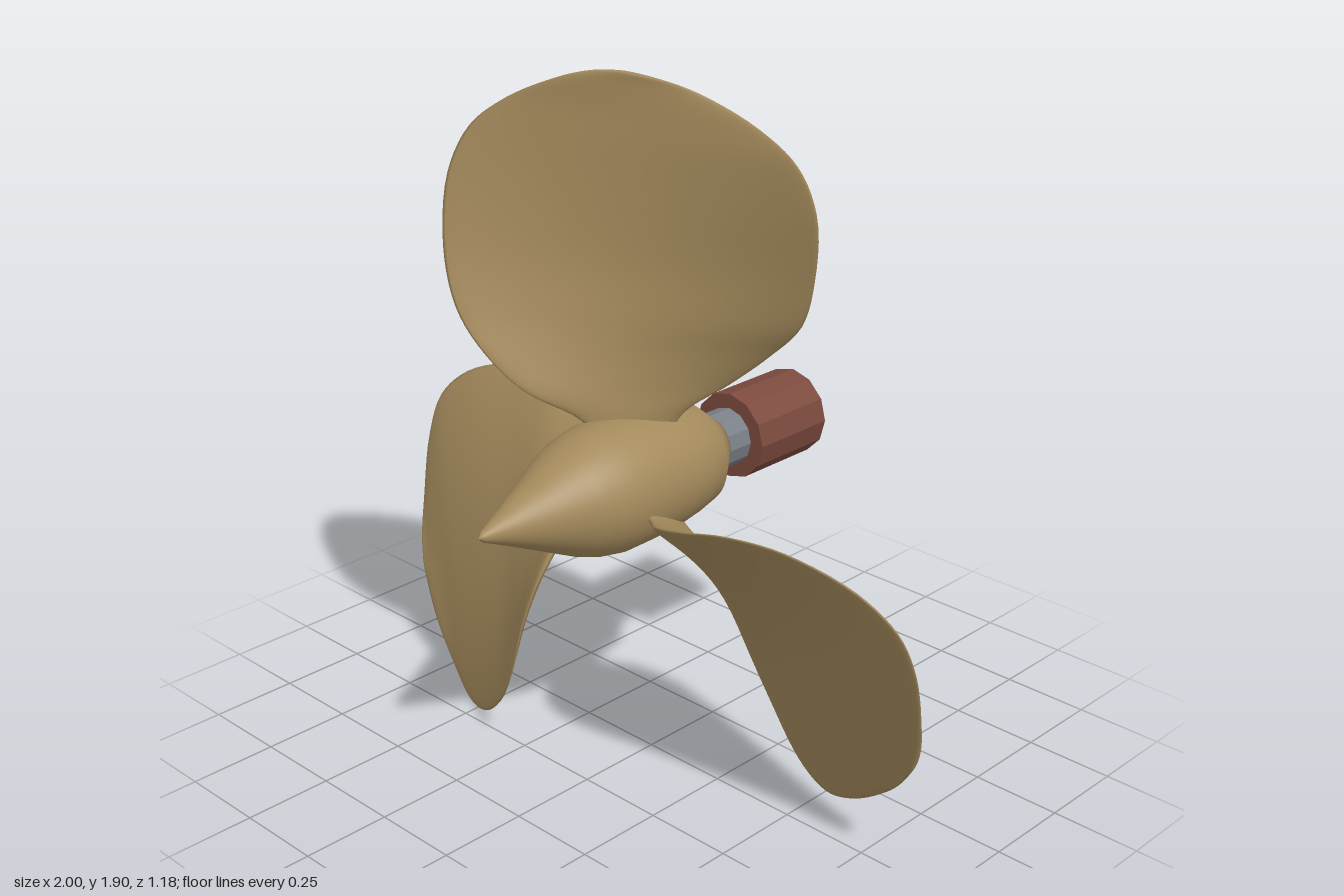
import * as THREE from 'three';

const HUB_X = -0.02, HUB_Y = 0.84;
const brass = new THREE.MeshStandardMaterial({ color: 0xa48a5c });
const steel = new THREE.MeshStandardMaterial({ color: 0x7a8088, flatShading: true });
const red = new THREE.MeshStandardMaterial({ color: 0x7c4a3e, flatShading: true });

// Blade stations: height, then x and z of the left edge, x and z of the right edge
const STATIONS = [
  [0.92, -0.05, 0.13, 0.03, -0.03],
  [1.01, -0.085, 0.17, 0.065, -0.05],
  [1.09, -0.19, 0.27, 0.15, -0.135],
  [1.18, -0.295, 0.313, 0.245, -0.182],
  [1.28, -0.395, 0.317, 0.338, -0.193],
  [1.42, -0.475, 0.285, 0.39, -0.177],
  [1.60, -0.51, 0.232, 0.42, -0.14],
  [1.72, -0.475, 0.185, 0.385, -0.107],
  [1.80, -0.385, 0.14, 0.29, -0.075],
  [1.87, -0.24, 0.092, 0.13, -0.03],
  [1.897, -0.15, 0.06, 0.02, 0.01],
  [1.905, -0.07, 0.035, -0.068, 0.034],
];

// Twisted blade skinned over thin lens-shaped sections
function bladeGeometry() {
  const edge = (k) => new THREE.CatmullRomCurve3(
    STATIONS.map((s) => new THREE.Vector3(s[k] - HUB_X, s[0] - HUB_Y, s[k + 1])));
  const left = edge(1), right = edge(3);
  const rows = 55, around = 32;
  const up = new THREE.Vector3(0, 1, 0);
  const positions = [], indices = [];
  for (let j = 0; j <= rows; j++) {
    const u = j / rows;
    const l = left.getPoint(u), r = right.getPoint(u);
    const mid = l.clone().add(r).multiplyScalar(0.5);
    const half = r.clone().sub(l).multiplyScalar(0.5);
    const normal = up.clone().cross(half).normalize();
    const thick = Math.min(0.022 - 0.014 * u, half.length() * 0.3);
    for (let i = 0; i < around; i++) {
      const a = (i / around) * Math.PI * 2;
      const p = mid.clone().addScaledVector(half, Math.cos(a))
        .addScaledVector(normal, Math.sin(a) * thick);
      positions.push(p.x, p.y, p.z);
      if (j === rows) continue;
      const n = (i + 1) % around;
      const p0 = j * around + i, p1 = j * around + n;
      indices.push(p0, p1, p1 + around, p0, p1 + around, p0 + around);
    }
  }
  const geometry = new THREE.BufferGeometry();
  geometry.setAttribute('position', new THREE.Float32BufferAttribute(positions, 3));
  geometry.setIndex(indices);
  geometry.computeVertexNormals();
  return geometry;
}

// Cylinder lying along z between two depths
function rod(name, radius, z0, z1, material) {
  const geometry = new THREE.CylinderGeometry(radius, radius, z1 - z0, 12);
  geometry.rotateX(Math.PI / 2).translate(0, 0, (z0 + z1) / 2);
  const mesh = new THREE.Mesh(geometry, material);
  mesh.name = name;
  return mesh;
}

export function createModel() {
  const model = new THREE.Group();
  model.name = 'propeller';
  const assembly = new THREE.Group();
  assembly.name = 'propellerAssembly';
  assembly.position.set(HUB_X, HUB_Y, 0);
  model.add(assembly);

  // Hub with pointed nose, turned around the z axis
  const profile = [
    [0, -0.25], [0.075, -0.25], [0.11, -0.205], [0.145, -0.16], [0.16, -0.09],
    [0.17, -0.02], [0.175, 0.08], [0.176, 0.17], [0.165, 0.235], [0.145, 0.295],
    [0.1, 0.39], [0.05, 0.495], [0.014, 0.575], [0, 0.588],
  ].map(([r, z]) => new THREE.Vector2(r, z));
  const hub = new THREE.Mesh(new THREE.LatheGeometry(profile, 48).rotateX(Math.PI / 2), brass);
  hub.name = 'hub';
  assembly.add(hub);

  // Drive shaft and coupling behind the hub
  assembly.add(rod('shaft', 0.08, -0.34, -0.245, steel));
  assembly.add(rod('coupling', 0.122, -0.588, -0.325, red));

  // Three blades around the hub
  const geometry = bladeGeometry();
  for (let i = 0; i < 3; i++) {
    const blade = new THREE.Mesh(geometry, brass);
    blade.name = `blade${i + 1}`;
    blade.rotation.z = (i * Math.PI * 2) / 3;
    assembly.add(blade);
  }
  return model;
}
